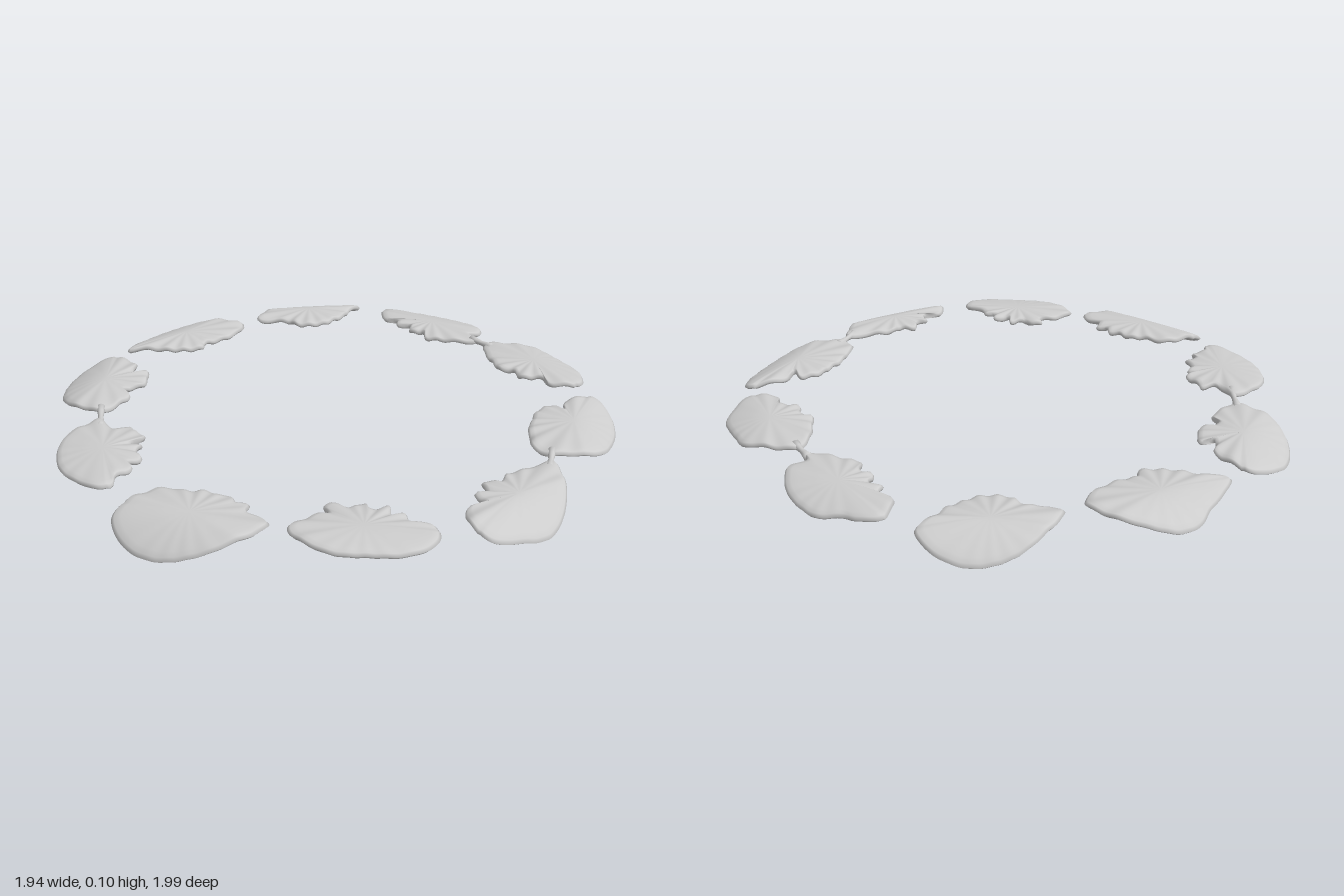
import * as THREE from 'three';
import { mergeVertices } from 'three/addons/utils/BufferGeometryUtils.js';

const SIDES = 120;      // samples around a pad
const TOP = 0.109;      // height of the pads' upper face
// cross-section from hub to rim and back: [radial fraction, offset from mid-surface]
const upper = [[0, 0.013], [0.15, 0.013], [0.3, 0.013], [0.45, 0.013], [0.6, 0.012], [0.74, 0.012], [0.87, 0.011], [0.96, 0.009]];
const SECTION = [...upper, [1, 0], ...upper.map(([t, h]) => [t, -h]).reverse()];

// A thin leaf pad: outline (x, z in hundredths), drooping away from the ring centre
function padGeometry(outline, droop) {
  const pts = [];
  for (let i = 0; i < outline.length; i += 2) pts.push(new THREE.Vector3(outline[i] / 100, 0, outline[i + 1] / 100));
  const rim = new THREE.CatmullRomCurve3(pts, true, 'centripetal').getSpacedPoints(SIDES).slice(0, SIDES);
  if (THREE.ShapeUtils.area(rim.map(p => new THREE.Vector2(p.x, p.z))) > 0) rim.reverse();

  const hub = new THREE.Vector3();
  rim.forEach(p => hub.addScaledVector(p, 1 / SIDES));
  const out = hub.clone().normalize();
  const reach = Math.max(...rim.map(p => p.clone().sub(hub).dot(out)));

  const position = [], index = [];
  SECTION.forEach(([t, h], row) => {
    rim.forEach((p, i) => {
      const d = p.clone().sub(hub);
      const facing = d.dot(out) / d.length();            // 1 outward, -1 inward
      const s = Math.max(0, d.dot(out) * t / reach);
      const angle = Math.atan2(d.z, d.x);
      // radial pleats, strongest on the scalloped inner side
      const pleat = (facing < 0.2 ? 0.004 : 0.001) * t * t * (1 - Math.cos(15 * angle));
      const y = TOP - 0.013 - droop * Math.pow(s, 1.6) - pleat + h;
      position.push(hub.x + d.x * t, y, hub.z + d.z * t);
      if (row < SECTION.length - 1) {
        const a = row * SIDES + i, d2 = row * SIDES + (i + 1) % SIDES;
        const b = a + SIDES, c = d2 + SIDES;
        if (row < SECTION.length - 2) index.push(a, b, c);
        else index.push(a, b, d2);
        if (row > 0 && row < SECTION.length - 2) index.push(a, c, d2);
      }
    });
  });
  let g = new THREE.BufferGeometry();
  g.setAttribute('position', new THREE.Float32BufferAttribute(position, 3));
  g.setIndex(index);
  g = mergeVertices(g, 1e-5);
  g.computeVertexNormals();
  return g;
}

export function createModel() {
  const model = new THREE.Group();
  model.name = 'leafRing';
  const grey = new THREE.MeshStandardMaterial({ color: 0xcccccc });
  grey.name = 'light grey';

  const add = (name, geometry) => {
    const mesh = new THREE.Mesh(geometry, grey);
    mesh.name = name;
    model.add(mesh);
    return mesh;
  };
  const pad = (name, droop, ...outline) => add(name, padGeometry(outline, droop));

  // Pads at the back
  pad('backPad', 0.075, -22, -79, -20, -85, -14, -93, -6, -98, 5, -100, 14, -98, 20, -94, 22, -90, 17, -84,
    14, -79, 9, -75, 5, -72, -1, -71, -6, -72, -9, -75, -14, -77, -19, -77);
  pad('backRightPad', 0.055, -74, -55, -71, -63, -66, -71, -63, -77, -56, -82, -46, -83, -38, -82, -34, -80, -28, -75,
    -29, -69, -33, -64, -38, -60, -44, -57, -45, -53, -53, -52, -60, -53, -67, -55);
  pad('backLeftPad', 0.04, 30, -81, 32, -85, 40, -84, 44, -82, 53, -80, 58, -76, 63, -70, 66, -63, 66, -54, 61, -52,
    63, -46, 56, -47, 48, -50, 43, -52, 43, -57, 38, -60, 39, -65, 34, -67, 35, -71, 30, -74);

  // Pads on the right side
  pad('rightRearPad', 0.055, -81, -50, -88, -46, -94, -39, -97, -28, -96, -17, -92, -9, -87, -5, -82, -2, -78, -4,
    -75, -8, -72, -13, -74, -18, -67, -22, -66, -27, -66, -33, -71, -31, -71, -36, -70, -39, -75, -46);
  pad('rightFrontPad', 0.02, -82, 4, -86, 7, -92, 13, -95, 21, -94, 34, -89, 43, -80, 51, -76, 50, -75, 45, -70, 41,
    -71, 37, -67, 35, -69, 29, -67, 25, -71, 24, -66, 20, -70, 14, -71, 11, -76, 13, -79, 9);

  // Pads on the left side
  pad('leftRearPad', 0.035, 65, -43, 72, -43, 79, -41, 85, -39, 89, -33, 93, -26, 96, -19, 95, -11, 92, -4, 85, -3,
    80, -5, 79, -10, 71, -12, 70, -17, 65, -20, 64, -26, 63, -33);
  pad('leftFrontPad', 0.055, 65, 48, 61, 42, 62, 35, 63, 29, 66, 23, 69, 17, 76, 13, 79, 17, 81, 11, 88, 7, 94, 6,
    97, 13, 96, 24, 92, 34, 85, 44, 77, 48, 71, 48);

  // Pads at the front
  pad('frontRightPad', 0.085, -76, 65, -72, 60, -66, 56, -60, 54, -53, 57, -46, 58, -43, 61, -39, 62, -38, 66, -34, 67,
    -35, 72, -30, 76, -29, 80, -34, 84, -39, 86, -47, 87, -58, 85, -66, 81, -73, 74);
  pad('frontPad', 0.015, -24, 82, -19, 78, -16, 76, -11, 75, -12, 71, -8, 70, -4, 73, 1, 71, 2, 75, 8, 74, 8, 79,
    12, 79, 13, 83, 20, 87, 20, 93, 16, 97, 8, 99, -2, 98, -12, 96, -20, 90);
  pad('frontLeftPad', 0.075, 65, 52, 66, 61, 65, 69, 61, 79, 55, 86, 45, 90, 35, 92, 30, 86, 31, 78, 37, 76, 35, 70,
    39, 69, 39, 63, 45, 63, 48, 59, 56, 56);

  // Waisted stems joining neighbouring pads
  const stem = (name, x1, z1, x2, z2) => {
    const a = new THREE.Vector3(x1, 0.094, z1), b = new THREE.Vector3(x2, 0.094, z2);
    const half = a.distanceTo(b) / 2;
    const profile = [[0, -1], [0.016, -1], [0.012, -0.5], [0.009, 0], [0.012, 0.5], [0.016, 1], [0, 1]]
      .map(([r, k]) => new THREE.Vector2(r, k * half));
    const mesh = add(name, new THREE.LatheGeometry(profile, 12));
    mesh.position.copy(a).lerp(b, 0.5);
    mesh.quaternion.setFromUnitVectors(new THREE.Vector3(0, 1, 0), b.sub(a).normalize());
  };
  stem('rightStem', -0.82, -0.05, -0.815, 0.1);
  stem('leftRearStem', 0.61, -0.49, 0.67, -0.4);
  stem('leftFrontStem', 0.63, 0.56, 0.67, 0.45);

  return model;
}
